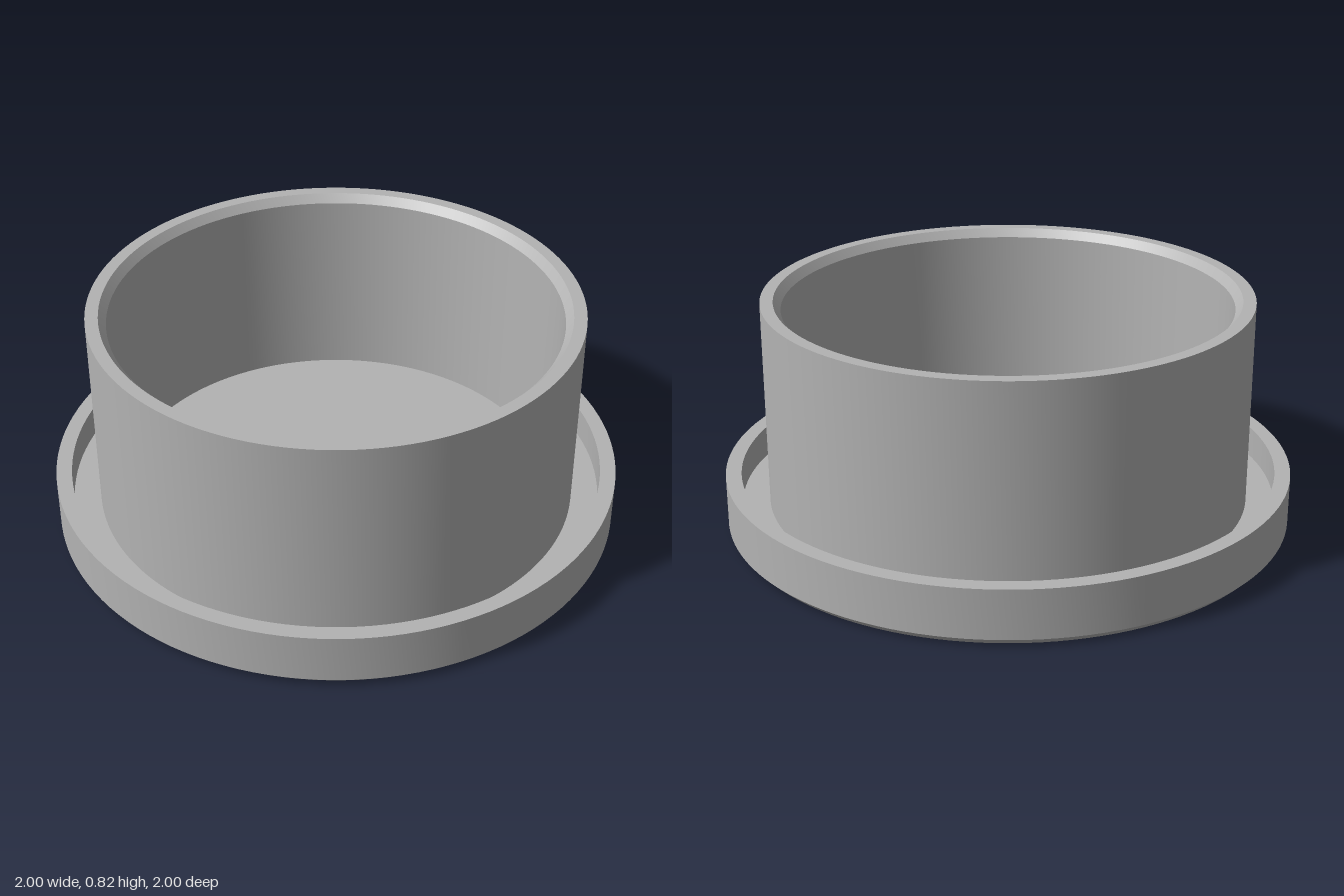
import * as THREE from 'three';
import { toCreasedNormals } from 'three/addons/utils/BufferGeometryUtils.js';

const grey = new THREE.MeshStandardMaterial({ color: 0xb3b3b3 });
grey.name = 'grey';

// Turned part from [radius, height] pairs, listed bottom to top along the outside
function turned(name, profile, segments) {
  const points = profile.map(([r, y]) => new THREE.Vector2(r, y));
  const geometry = toCreasedNormals(new THREE.LatheGeometry(points, segments), 0.45);
  const mesh = new THREE.Mesh(geometry, grey);
  mesh.name = name;
  return mesh;
}

export function createModel() {
  const group = new THREE.Group();
  group.name = 'cap';

  // Chamfered base disc with a raised rim and a groove around the cup wall
  group.add(turned('flange', [
    [0, 0], [0.975, 0], [1, 0.025], [1, 0.2],
    [0.945, 0.2], [0.945, 0.09], [0.85, 0.09],
  ], 128));

  // Tall hollow wall with a bevelled inner lip, slight inner taper and cup floor
  group.add(turned('cupWall', [
    [0.85, 0.09], [0.85, 0.82], [0.805, 0.82],
    [0.78, 0.79], [0.767, 0.09], [0, 0.09],
  ], 128));

  // Small stepped stud in the middle of the floor
  group.add(turned('centreStud', [
    [0.06, 0.09], [0.035, 0.13], [0.02, 0.145], [0, 0.145],
  ], 48));

  return group;
}
